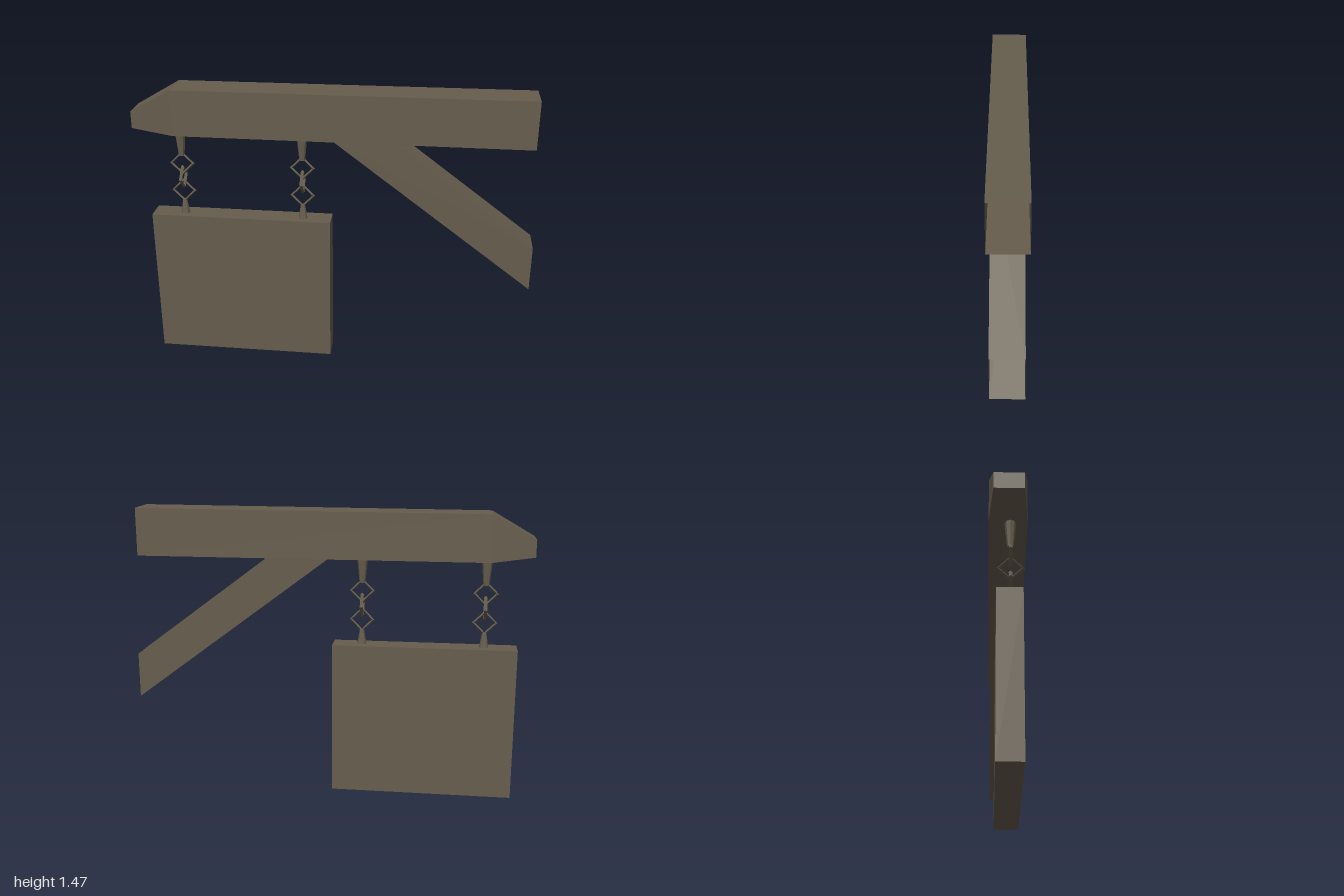
import * as THREE from 'three';

export function createModel() {
  const model = new THREE.Group();
  model.name = 'hangingSign';
  const wood = new THREE.MeshStandardMaterial({ color: 0x665d4d, side: THREE.DoubleSide });
  wood.name = 'weathered brown';

  const add = (parent, name, geometry, x = 0, y = 0, z = 0) => {
    const mesh = new THREE.Mesh(geometry, wood);
    mesh.name = name;
    mesh.position.set(x, y, z);
    parent.add(mesh);
    return mesh;
  };

  const flat = (geometry) => {
    const g = geometry.index ? geometry.toNonIndexed() : geometry;
    g.computeVertexNormals();
    return g;
  };

  // Four-sided hollow bar; each section is [lower x, lower y, upper x, upper y, half depth]
  const hollowBar = (sections, capStart) => {
    const rings = sections.map(([lx, ly, ux, uy, d]) => [
      [lx, ly, -d], [lx, ly, d], [ux, uy, d], [ux, uy, -d],
    ]);
    const p = [];
    const quad = (a, b, c, d) => p.push(...a, ...b, ...c, ...a, ...c, ...d);
    for (let s = 0; s < rings.length - 1; s++) {
      for (let i = 0; i < 4; i++) {
        const j = (i + 1) % 4;
        quad(rings[s][i], rings[s + 1][i], rings[s + 1][j], rings[s][j]);
      }
    }
    if (capStart) quad(...rings[0]);
    const g = new THREE.BufferGeometry();
    g.setAttribute('position', new THREE.Float32BufferAttribute(p, 3));
    return flat(g);
  };

  // Beam with a tapered closed tip and an open wall end
  add(model, 'beam', hollowBar([
    [-1, 1.255, -1, 1.34, 0.07],
    [-0.79, 1.228, -0.79, 1.46, 0.09],
    [0.97, 1.228, 0.97, 1.467, 0.09],
  ], true));

  // Diagonal brace, open at the wall end
  add(model, 'brace', hollowBar([
    [-0.025, 1.25, 0.28, 1.25, 0.079],
    [1, 0.48, 1, 0.71, 0.079],
  ], false), 0, 0, 0.004);

  // Sign board
  add(model, 'signBoard', new THREE.BoxGeometry(0.925, 0.785, 0.117), -0.4775, 0.3925, 0.003);

  // Two chains, each with a tapered hook, three diamond links and a lower stud
  const hook = flat(new THREE.CylinderGeometry(0.034, 0.015, 0.2, 8));
  const stud = flat(new THREE.CylinderGeometry(0.011, 0.026, 0.09, 8));
  const link = flat(new THREE.TorusGeometry(0.056, 0.008, 4, 4));
  for (const [x, name] of [[-0.775, 'outerChain'], [-0.16, 'innerChain']]) {
    const chain = new THREE.Group();
    chain.name = name;
    chain.position.set(x, 0, 0.01);
    add(chain, 'hook', hook, 0, 1.2, 0);
    add(chain, 'upperLink', link, 0, 1.057, 0);
    add(chain, 'middleLink', link, 0, 0.984, 0).rotation.y = Math.PI / 2;
    add(chain, 'lowerLink', link, 0, 0.909, 0);
    add(chain, 'stud', stud, 0, 0.813, 0);
    model.add(chain);
  }
  return model;
}
